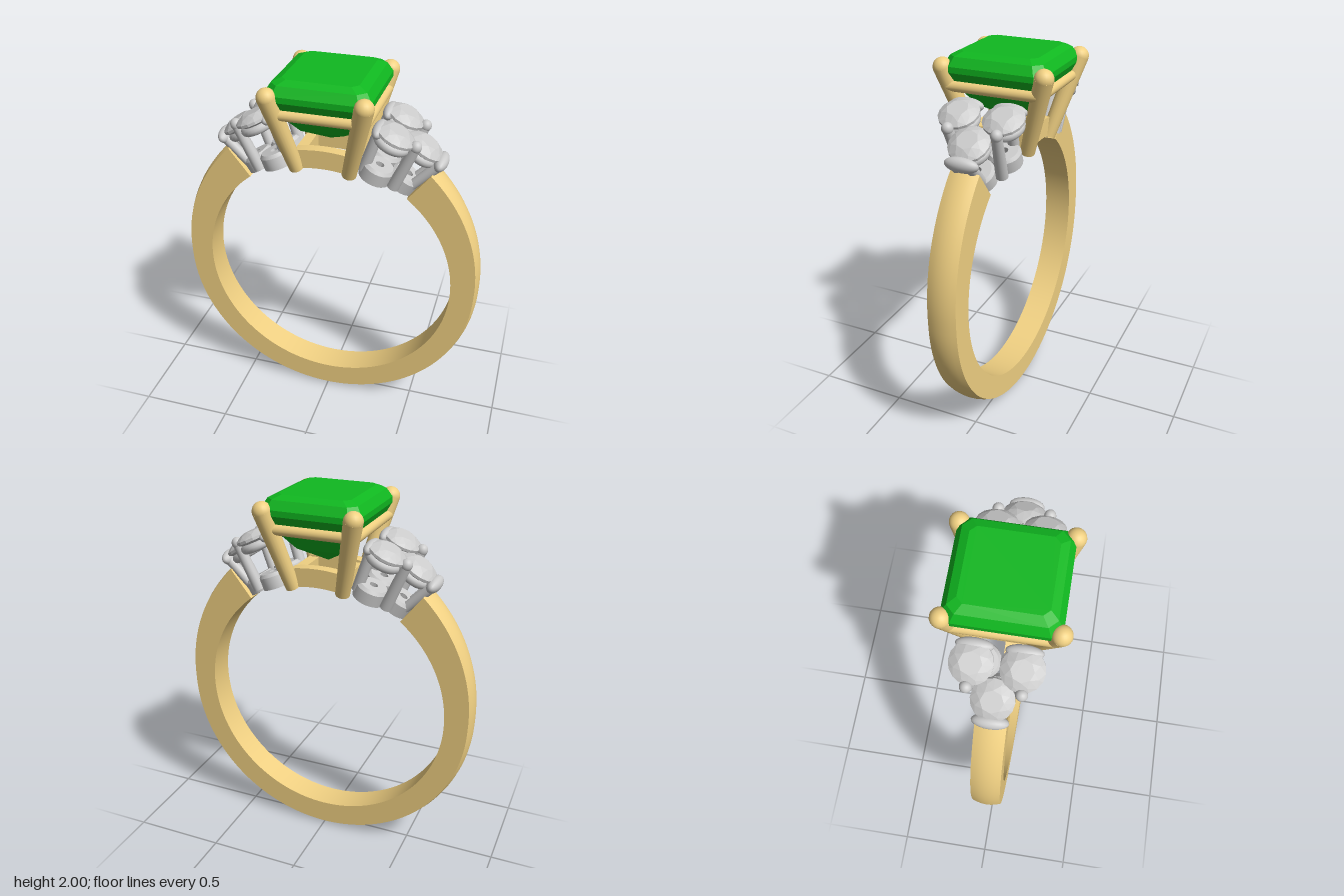
import * as THREE from 'three';
import { toCreasedNormals } from 'three/addons/utils/BufferGeometryUtils.js';
import { ConvexGeometry } from 'three/addons/geometries/ConvexGeometry.js';

const gold = new THREE.MeshStandardMaterial({ color: 0xf0d082 });
const green = new THREE.MeshStandardMaterial({ color: 0x10b820 });
const grey = new THREE.MeshStandardMaterial({ color: 0xcccccc });
const V = (x, y, z) => new THREE.Vector3(x, y, z);
const CY = 0.836, INNER = 0.69, END = THREE.MathUtils.degToRad(38);

function add(parent, name, geometry, material, x = 0, y = 0, z = 0) {
  const mesh = new THREE.Mesh(geometry, material);
  mesh.name = name;
  mesh.position.set(x, y, z);
  parent.add(mesh);
  return mesh;
}

// Tapered round bar between two points
function rod(parent, name, a, b, ra, rb, material) {
  const dir = b.clone().sub(a);
  const mid = a.clone().add(b).multiplyScalar(0.5);
  const m = add(parent, name, new THREE.CylinderGeometry(rb, ra, dir.length(), 20), material, mid.x, mid.y, mid.z);
  m.quaternion.setFromUnitVectors(V(0, 1, 0), dir.normalize());
  return m;
}

// Open band: flat inside, gently domed outside, thicker toward the shoulders
function bandGeometry() {
  const N = 120, W = 0.077, DOME = 6;
  const pos = [], idx = [];
  const count = DOME + 3;
  for (let i = 0; i <= N; i++) {
    const t = END + (2 * Math.PI - 2 * END) * i / N;
    const fromTop = Math.min(t, 2 * Math.PI - t);
    const grow = THREE.MathUtils.clamp((1.6 - fromTop) / (1.6 - END), 0, 1);
    const R = 0.832 + 0.004 * Math.max(0, -Math.cos(t)) + 0.06 * Math.pow(grow, 1.3);
    const section = [[INNER, W], [INNER, -W]];
    for (let k = 0; k <= DOME; k++) {
      const u = -1 + 2 * k / DOME;
      section.push([R - 0.016 * u * u, u * W]);
    }
    for (const [r, z] of section) pos.push(Math.sin(t) * r, CY + Math.cos(t) * r, z);
  }
  for (let i = 0; i < N; i++) {
    for (let k = 0; k < count; k++) {
      const a = i * count + k, b = i * count + (k + 1) % count;
      idx.push(a, b, a + count, b, b + count, a + count);
    }
  }
  const last = N * count;
  for (let k = 1; k < count - 1; k++) {
    idx.push(0, k + 1, k);
    idx.push(last, last + k, last + k + 1);
  }
  const g = new THREE.BufferGeometry();
  g.setAttribute('position', new THREE.Float32BufferAttribute(pos, 3));
  g.setIndex(idx);
  return toCreasedNormals(g, 0.5);
}

// Step-cut stone from stacked rectangles with clipped corners
function stepCutGeometry() {
  const steps = [
    [0.19, 0.205, 2.0, 0.03], [0.235, 0.245, 1.98, 0.04], [0.263, 0.273, 1.935, 0.05],
    [0.263, 0.273, 1.905, 0.05], [0.215, 0.225, 1.81, 0.045], [0.14, 0.15, 1.72, 0.03]
  ];
  const pts = [V(0, 1.63, 0)];
  for (const [x, z, y, c] of steps)
    for (const sx of [-1, 1])
      for (const sz of [-1, 1])
        pts.push(V(sx * (x - c), y, sz * z), V(sx * x, y, sz * (z - c)));
  return new ConvexGeometry(pts);
}

// Round faceted stone: table, crown, girdle and pavilion
function roundStoneGeometry() {
  const pts = [V(0, -0.07, 0)];
  const ring = (n, r, y, shift) => {
    for (let i = 0; i < n; i++) {
      const a = (i + shift) * 2 * Math.PI / n;
      pts.push(V(r * Math.cos(a), y, r * Math.sin(a)));
    }
  };
  ring(8, 0.055, 0.036, 0);
  ring(8, 0.083, 0.022, 0.5);
  ring(16, 0.105, 0.006, 0);
  ring(16, 0.105, -0.008, 0);
  return new ConvexGeometry(pts);
}

// Gallery base bar whose underside follows the finger opening
function baseBarGeometry() {
  const half = Math.asin(0.15 / INNER);
  const s = new THREE.Shape();
  s.absarc(0, CY, INNER, Math.PI / 2 - half, Math.PI / 2 + half, false);
  s.absarc(0, CY, 0.789, Math.PI / 2 + half * 0.85, Math.PI / 2 - half * 0.85, true);
  s.closePath();
  return new THREE.ExtrudeGeometry(s, { depth: 0.06, bevelEnabled: false, curveSegments: 16 });
}

function centreSetting() {
  const g = new THREE.Group();
  g.name = 'centreSetting';
  add(g, 'centreStone', stepCutGeometry(), green);
  for (const sx of [-1, 1]) {
    for (const sz of [-1, 1]) {
      const top = V(sx * 0.238, 1.925, sz * 0.268);
      rod(g, 'prong', V(sx * 0.138, 1.51, sz * 0.145), top, 0.038, 0.049, gold);
      add(g, 'prongTip', new THREE.SphereGeometry(0.049, 20, 14), gold, top.x, top.y, top.z);
    }
    rod(g, 'sideRail', V(sx * 0.236, 1.835, -0.24), V(sx * 0.236, 1.835, 0.24), 0.028, 0.028, gold);
    rod(g, 'crossRail', V(-0.215, 1.835, sx * 0.245), V(0.215, 1.835, sx * 0.245), 0.028, 0.028, gold);
    add(g, 'baseCrossBar', baseBarGeometry(), gold, 0, 0, sx * 0.125 - 0.03);
    add(g, 'baseSideBar', new THREE.BoxGeometry(0.055, 0.085, 0.25), gold, sx * 0.125, 1.56, 0);
  }
  return g;
}

// Three small stones on pierced base discs, built for the +x shoulder
function sideCluster() {
  const g = new THREE.Group();
  g.name = 'sideCluster';
  const stoneGeo = roundStoneGeometry();
  const seatGeo = new THREE.TorusGeometry(0.072, 0.026, 12, 32).rotateX(Math.PI / 2);
  const discProfile = [[0.022, -0.04], [0.085, -0.04], [0.085, 0.025], [0.072, 0.042], [0.022, 0.042], [0.022, -0.04]];
  const discGeo = toCreasedNormals(new THREE.LatheGeometry(discProfile.map(p => new THREE.Vector2(...p)), 28), 0.6);

  // position, tilt, then angle of the base disc around the ring
  const stones = [
    [0.36, 1.745, 0.118, 0.44, 0.37], [0.36, 1.745, -0.118, 0.44, 0.37], [0.49, 1.65, 0, 0.58, 0.565]
  ];
  for (const [x, y, z, tilt, angle] of stones) {
    const drop = 0.042;
    add(g, 'smallStone', stoneGeo, grey, x, y, z).rotation.z = -tilt;
    add(g, 'stoneSeat', seatGeo, grey, x - drop * Math.sin(tilt), y - drop * Math.cos(tilt), z).rotation.z = -tilt;
    add(g, 'baseDisc', discGeo, grey, 0.734 * Math.sin(angle), CY + 0.734 * Math.cos(angle), z * 0.68).rotation.z = -angle;
  }

  const tip = (name, p, sx, sy, sz, tilt) => {
    const m = add(g, name, new THREE.SphereGeometry(1, 20, 14), grey, p.x, p.y, p.z);
    m.scale.set(sx, sy, sz);
    m.rotation.z = -tilt;
  };
  for (const s of [-1, 1]) {
    // Slim prongs between the upper and lower stones
    const mid = V(0.462, 1.7, s * 0.128);
    rod(g, 'sideProng', V(0.355, 1.455, s * 0.105), mid, 0.032, 0.027, grey);
    tip('sideProngTip', mid, 0.03, 0.032, 0.03, 0.4);
    // Prongs beside the centre setting
    const inner = V(0.28, 1.765, s * 0.115);
    rod(g, 'innerProng', V(0.2, 1.53, s * 0.1), inner, 0.03, 0.028, grey);
    tip('innerProngTip', inner, 0.034, 0.038, 0.09, 0.4);
  }
  // Broad prong meeting the shoulder
  const outer = V(0.573, 1.577, 0);
  for (const z of [-0.04, 0.04])
    rod(g, 'outerProng', V(0.42, 1.425, z), V(0.57, 1.575, z), 0.025, 0.028, grey);
  tip('outerProngTip', outer, 0.036, 0.042, 0.09, 0.6);
  return g;
}

export function createModel() {
  const model = new THREE.Group();
  model.name = 'ring';
  add(model, 'band', bandGeometry(), gold);
  model.add(centreSetting());
  for (const turn of [0, Math.PI]) {
    const cluster = sideCluster();
    cluster.rotation.y = turn;
    model.add(cluster);
  }
  return model;
}
